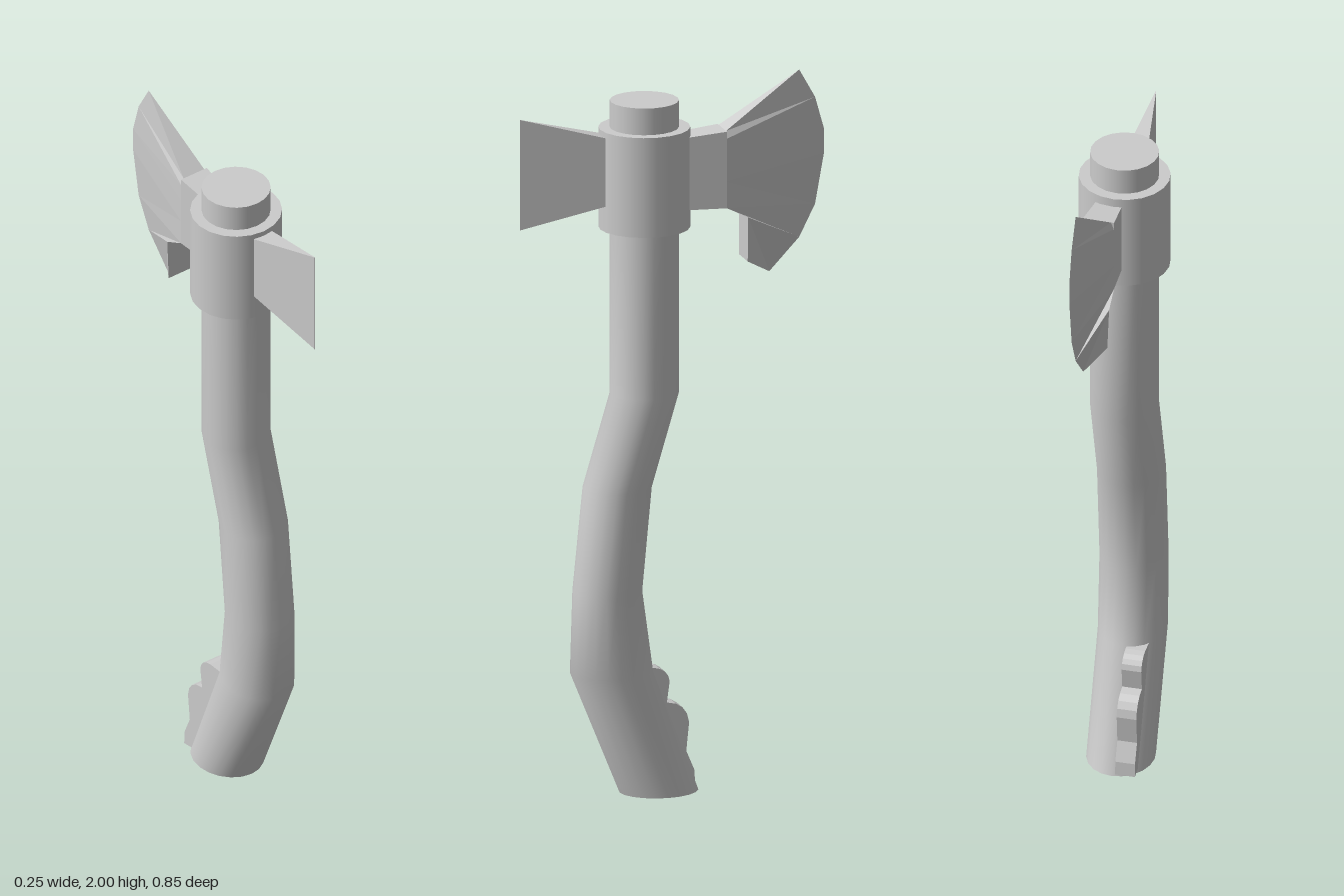
import * as THREE from 'three';
import { mergeVertices } from 'three/addons/utils/BufferGeometryUtils.js';

const grey = new THREE.MeshStandardMaterial({ color: 0xcccccc });
grey.name = 'plain grey';
const AXIS_Z = 0.075;

function add(group, name, geometry) {
  const mesh = new THREE.Mesh(geometry, grey);
  mesh.name = name;
  group.add(mesh);
  return mesh;
}

// Flat-shaded solid from a list of quads, each [a, b, c, d] counter-clockwise
function quads(list) {
  const points = [];
  for (const [a, b, c, d] of list) points.push(...a, ...b, ...c, ...a, ...c, ...d);
  const g = new THREE.BufferGeometry();
  g.setAttribute('position', new THREE.Float32BufferAttribute(points, 3));
  g.computeVertexNormals();
  return g;
}

// Curved shaft: rings of [y, centre z, half depth]
function shaftGeometry() {
  const rings = [
    [1.7, AXIS_Z, 0.094], [1.12, AXIS_Z, 0.094], [0.86, 0.152, 0.094],
    [0.57, 0.18, 0.095], [0.34, 0.168, 0.115], [0, 0.035, 0.11],
  ];
  const n = rings.length - 1;
  let g = new THREE.CylinderGeometry(1, 1, 1, 20, n, true);
  const p = g.attributes.position;
  for (let i = 0; i < p.count; i++) {
    const [y, z, r] = rings[Math.round((0.5 - p.getY(i)) * n)];
    p.setXYZ(i, p.getX(i) * 0.094, y, z + p.getZ(i) * r);
  }
  g.deleteAttribute('normal');
  g.deleteAttribute('uv');
  g = mergeVertices(g);
  g.computeVertexNormals();
  return g;
}

// Block running along z between two sections [z, x0, x1, y0, y1], front section first
function block(f, b) {
  const corners = ([z, x0, x1, y0, y1]) => [[x0, y0, z], [x1, y0, z], [x1, y1, z], [x0, y1, z]];
  const F = corners(f), B = corners(b);
  const list = [F, [B[1], B[0], B[3], B[2]]];
  for (let i = 0; i < 4; i++) {
    const j = (i + 1) % 4;
    list.push([F[j], F[i], B[i], B[j]]);
  }
  return quads(list);
}

// Blade: rows from top to bottom, [inner z, inner y, half thickness, edge z, edge y]
function bladeGeometry() {
  const rows = [
    [-0.14, 1.85, 0.035, -0.355, 2.0], [-0.14, 1.83, 0.043, -0.4, 1.92],
    [-0.14, 1.78, 0.044, -0.425, 1.83], [-0.14, 1.71, 0.044, -0.425, 1.76],
    [-0.14, 1.635, 0.044, -0.4, 1.62], [-0.2, 1.605, 0.045, -0.355, 1.53],
    [-0.2, 1.48, 0.04, -0.27, 1.44],
  ];
  const pts = rows.map(([z, y, t, ez, ey]) => ({
    l: [0.02 - t, y, z], r: [0.02 + t, y, z], e: [0.03, ey, ez],
  }));
  const list = [];
  for (let i = 0; i < pts.length - 1; i++) {
    const a = pts[i], b = pts[i + 1];
    list.push([a.r, b.r, b.e, a.e], [a.l, a.e, b.e, b.l], [a.l, b.l, b.r, a.r]);
  }
  const top = pts[0], low = pts[pts.length - 1];
  list.push([top.l, top.r, top.e, top.e], [low.r, low.l, low.e, low.e]);
  return quads(list);
}

// Two rounded grip knobs along the back of the lower shaft
function knobGeometry() {
  const s = new THREE.Shape();
  s.moveTo(0.1, 0.34);
  s.lineTo(0.045, 0.34);
  s.quadraticCurveTo(0.005, 0.335, 0, 0.3);
  s.lineTo(0.008, 0.24);
  s.quadraticCurveTo(-0.05, 0.235, -0.055, 0.18);
  s.lineTo(-0.047, 0.1);
  s.lineTo(-0.07, 0.045);
  s.lineTo(-0.072, 0.005);
  s.lineTo(0.03, 0.02);
  const g = new THREE.ExtrudeGeometry(s, { depth: 0.055, bevelEnabled: false, curveSegments: 4 });
  return g.rotateY(-Math.PI / 2).translate(-0.01, 0, 0);
}

export function createModel() {
  const axe = new THREE.Group();
  axe.name = 'axe';

  // Handle
  add(axe, 'shaft', shaftGeometry());
  add(axe, 'shaftBase', new THREE.CircleGeometry(1, 20)
    .rotateX(Math.PI / 2).scale(0.094, 1, 0.11).translate(0, 0, 0.035));
  add(axe, 'gripKnobs', knobGeometry());
  add(axe, 'shaftTop', new THREE.CylinderGeometry(0.094, 0.094, 0.24, 20)).position.set(0, 1.82, AXIS_Z);

  // Head
  add(axe, 'collar', new THREE.CylinderGeometry(0.125, 0.125, 0.28, 20)).position.set(0, 1.725, AXIS_Z);
  add(axe, 'backSpike', block([0.427, -0.0005, 0.0005, 1.6, 1.91], [0.18, -0.033, 0.033, 1.66, 1.845]));
  add(axe, 'bladeNeck', block([0, -0.02, 0.05, 1.635, 1.835], [-0.14, -0.024, 0.064, 1.635, 1.85]));
  add(axe, 'blade', bladeGeometry());

  return axe;
}
